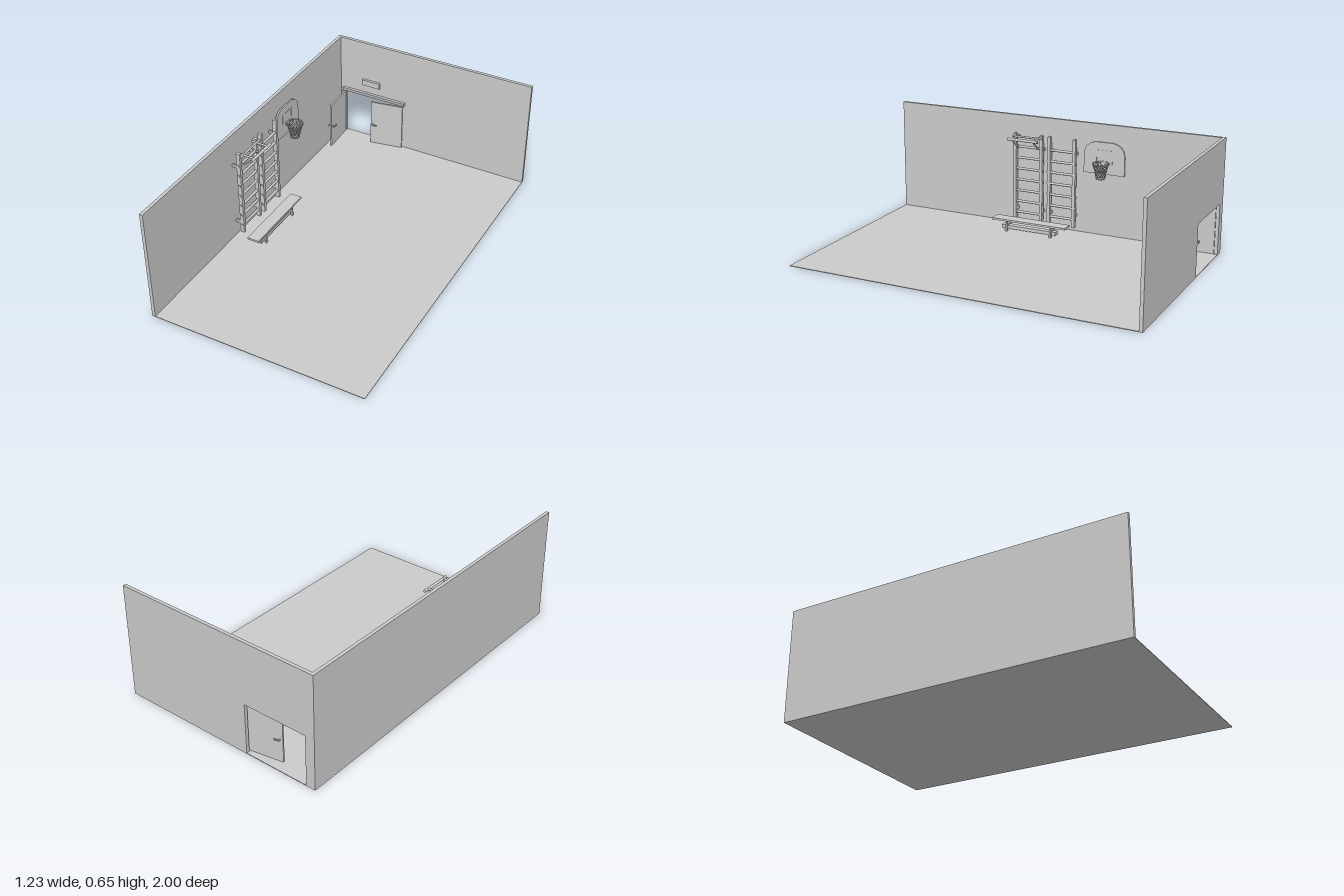
import * as THREE from 'three';

const grey = new THREE.MeshStandardMaterial({ color: 0xcccccc, side: THREE.DoubleSide });

function add(parent, name, geometry) {
  const mesh = new THREE.Mesh(geometry, grey);
  mesh.name = name;
  parent.add(mesh);
  return mesh;
}

function group(parent, name) {
  const g = new THREE.Group();
  g.name = name;
  parent.add(g);
  return g;
}

// box given by its min and max on each axis
function box(parent, name, x0, x1, y0, y1, z0, z1) {
  const m = add(parent, name, new THREE.BoxGeometry(x1 - x0, y1 - y0, z1 - z0));
  m.position.set((x0 + x1) / 2, (y0 + y1) / 2, (z0 + z1) / 2);
  return m;
}

// round bar between two points
function rod(parent, name, a, b, r, sides = 12) {
  const p = new THREE.Vector3(...a), q = new THREE.Vector3(...b);
  const d = q.clone().sub(p);
  const m = add(parent, name, new THREE.CylinderGeometry(r, r, d.length(), sides));
  m.position.copy(p).add(q).multiplyScalar(0.5);
  m.quaternion.setFromUnitVectors(new THREE.Vector3(0, 1, 0), d.normalize());
  return m;
}

function rect(x0, x1, y0, y1) {
  return [[x0, y0], [x1, y0], [x1, y1], [x0, y1]].map(p => new THREE.Vector2(...p));
}

function buildRoom(root) {
  const room = group(root, 'room');
  box(room, 'floor', -0.615, 0.615, 0, 0.004, -1, 1);
  box(room, 'sideWall', -0.615, -0.596, 0, 0.655, -1, 1);
  // back wall with the doorway cut out from the floor up
  const wall = new THREE.Shape([
    [-0.615, 0], [-0.56, 0], [-0.56, 0.295], [-0.18, 0.295], [-0.18, 0], [0.615, 0], [0.615, 0.655], [-0.615, 0.655],
  ].map(p => new THREE.Vector2(...p)));
  add(room, 'backWall', new THREE.ExtrudeGeometry(wall, { depth: 0.019, bevelEnabled: false })).position.z = -1;
  box(room, 'sign', -0.445, -0.33, 0.373, 0.409, -0.981, -0.966);
}

// one leaf, hinged at the local origin and reaching along +x
function doorLeaf(parent, name, x, z, angle) {
  const leaf = group(parent, name);
  box(leaf, 'panel', 0, 0.197, 0.005, 0.294, -0.005, 0.005);
  for (const s of [-1, 1]) {
    rod(leaf, 'handleStem', [0.183, 0.14, 0], [0.183, 0.14, s * 0.018], 0.004);
    rod(leaf, 'handleLever', [0.186, 0.14, s * 0.018], [0.155, 0.138, s * 0.018], 0.004);
  }
  leaf.position.set(x, 0, z);
  leaf.rotation.y = angle;
}

function buildDoor(root) {
  const door = group(root, 'doubleDoor');
  doorLeaf(door, 'leftLeaf', -0.568, -0.978, -1.53);
  doorLeaf(door, 'rightLeaf', -0.172, -0.97, Math.PI + 0.17);
  // lintel with a slanted front edge
  const profile = new THREE.Shape([[0, 0], [0.013, 0.003], [0.018, 0.024], [0, 0.024]].map(p => new THREE.Vector2(...p)));
  const lintel = add(door, 'lintel', new THREE.ExtrudeGeometry(profile, { depth: 0.415, bevelEnabled: false }));
  lintel.rotation.y = -Math.PI / 2;
  lintel.position.set(-0.163, 0.296, -0.982);
  lintel.scale.z = 1;
  box(door, 'doorPost', -0.582, -0.572, 0.004, 0.296, -0.982, -0.968);
}

function buildHoop(root) {
  const hoop = group(root, 'basketballHoop');
  const cz = -0.315, cx = -0.53, y = 0.443;
  // board with rounded upper corners
  const s = new THREE.Shape();
  s.moveTo(-0.123, 0.37);
  s.lineTo(0.123, 0.37);
  s.lineTo(0.123, 0.48);
  s.quadraticCurveTo(0.118, 0.545, 0.05, 0.555);
  s.lineTo(-0.05, 0.555);
  s.quadraticCurveTo(-0.118, 0.545, -0.123, 0.48);
  const board = add(hoop, 'backboard', new THREE.ExtrudeGeometry(s, { depth: 0.009, bevelEnabled: false, curveSegments: 8 }));
  board.rotation.y = Math.PI / 2;
  board.position.set(-0.588, 0, cz);
  box(hoop, 'boardMount', -0.597, -0.587, 0.42, 0.5, cz - 0.04, cz + 0.04);
  // target frame on the board
  const frame = new THREE.Shape(rect(-0.05, 0.05, 0.43, 0.51));
  frame.holes.push(new THREE.Path(rect(-0.044, 0.044, 0.436, 0.504)));
  const target = add(hoop, 'targetFrame', new THREE.ExtrudeGeometry(frame, { depth: 0.002, bevelEnabled: false }));
  target.rotation.y = Math.PI / 2;
  target.position.set(-0.579, 0, cz);
  // ring and its bracket
  const ring = add(hoop, 'ring', new THREE.TorusGeometry(0.047, 0.0035, 8, 32));
  ring.rotation.x = Math.PI / 2;
  ring.position.set(cx, y, cz);
  box(hoop, 'ringBracket', -0.58, -0.572, y - 0.018, y + 0.004, cz - 0.018, cz + 0.018);
  // net: crossing cords spiralling down a narrowing cup
  const radius = t => 0.046 - 0.03 * t + 0.01 * t * t;
  for (let i = 0; i < 12; i++) for (const dir of [-1, 1]) {
    const pts = [];
    for (let k = 0; k <= 6; k++) {
      const t = k / 6, a = i * Math.PI / 6 + dir * t * 1.57;
      pts.push(new THREE.Vector3(cx + radius(t) * Math.cos(a), y - 0.086 * t, cz + radius(t) * Math.sin(a)));
    }
    add(hoop, 'netCord', new THREE.TubeGeometry(new THREE.CatmullRomCurve3(pts), 12, 0.0017, 5));
  }
  for (const t of [0.33, 0.67, 1]) {
    const band = add(hoop, 'netBand', new THREE.TorusGeometry(radius(t), 0.0017, 5, 24));
    band.rotation.x = Math.PI / 2;
    band.position.set(cx, y - 0.086 * t, cz);
  }
}

function buildWallBars(root) {
  for (const [name, z0, z1] of [['nearWallBars', 0.06, 0.225], ['farWallBars', -0.145, 0.01]]) {
    const bars = group(root, name);
    for (const z of [z0, z1]) {
      box(bars, 'upright', -0.565, -0.542, 0.036, 0.558, z - 0.009, z + 0.009);
      for (const y of [0.1, 0.47]) box(bars, 'wallBracket', -0.597, -0.564, y - 0.008, y + 0.008, z - 0.005, z + 0.005);
    }
    for (let i = 0; i < 7; i++) {
      const y = 0.085 + i * 0.066;
      rod(bars, 'rung', [-0.553, y, z0 - 0.014], [-0.553, y, z1 + 0.014], 0.0075);
    }
  }
  // pull-up bar on the near frame
  const pull = group(root, 'pullUpBar');
  for (const z of [0.075, 0.207]) {
    rod(pull, 'arm', [-0.565, 0.543, z], [-0.467, 0.543, z], 0.006);
    rod(pull, 'brace', [-0.545, 0.478, z], [-0.468, 0.536, z], 0.005);
  }
  rod(pull, 'gripBar', [-0.467, 0.54, 0.045], [-0.467, 0.54, 0.235], 0.008);
  rod(pull, 'backBar', [-0.535, 0.543, 0.045], [-0.535, 0.543, 0.235], 0.006);
}

function buildBench(root) {
  const bench = group(root, 'bench');
  const cx = -0.44;
  box(bench, 'seat', cx - 0.035, cx + 0.035, 0.065, 0.076, -0.155, 0.305);
  box(bench, 'balanceBeam', cx - 0.018, cx + 0.018, 0.017, 0.037, -0.09, 0.25);
  for (const z of [-0.062, 0.215]) {
    for (const s of [-1, 1]) {
      rod(bench, 'leg', [cx + s * 0.027, 0.036, z], [cx + s * 0.019, 0.066, z], 0.005);
      box(bench, 'foot', cx + s * 0.027 - 0.005, cx + s * 0.027 + 0.005, 0.003, 0.038, z - 0.006, z + 0.006);
    }
    box(bench, 'crossBar', cx - 0.028, cx + 0.028, 0.036, 0.044, z - 0.006, z + 0.006);
  }
}

export function createModel() {
  const root = new THREE.Group();
  root.name = 'gymHall';
  buildRoom(root);
  buildDoor(root);
  buildHoop(root);
  buildWallBars(root);
  buildBench(root);
  return root;
}
